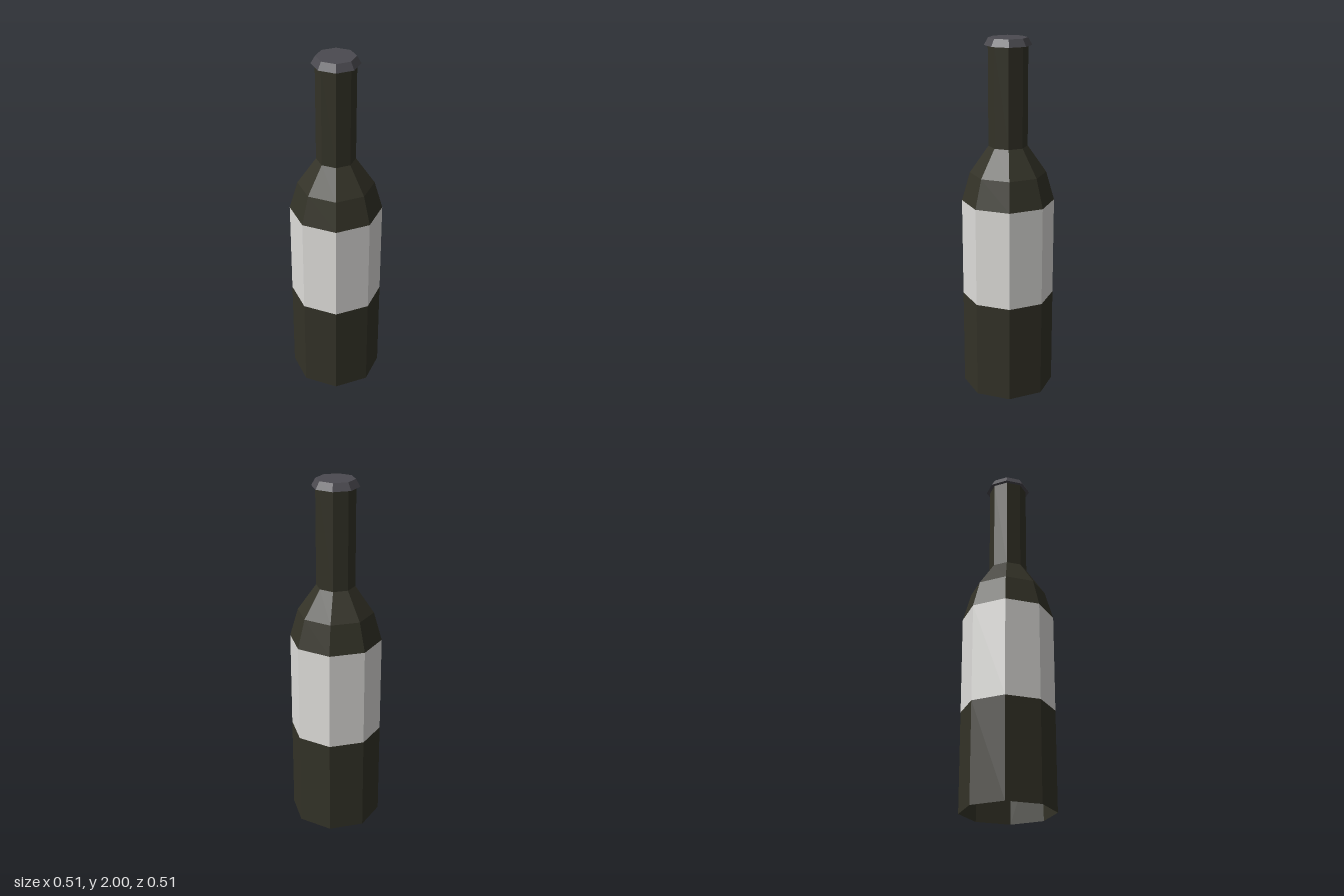
import * as THREE from 'three';

const SIDES = 8;

function makeMaterial(name, color) {
  const material = new THREE.MeshStandardMaterial({ color, flatShading: true, side: THREE.DoubleSide });
  material.name = name;
  return material;
}

// Eight-sided turned part from [radius, height] pairs, bottom to top
function turnedPart(name, profile, material) {
  const points = profile.map(([r, y]) => new THREE.Vector2(r, y));
  const mesh = new THREE.Mesh(new THREE.LatheGeometry(points, SIDES), material);
  mesh.name = name;
  return mesh;
}

export function createModel() {
  const glass = makeMaterial('dark olive glass', 0x333227);
  const paper = makeMaterial('off-white paper', 0xdddcd9);
  const metal = makeMaterial('dark grey cap', 0x4b4a50);

  const bottle = new THREE.Group();
  bottle.name = 'bottle';
  bottle.add(
    // Lower body, open underneath
    turnedPart('lowerBody', [[0.256, 0], [0.256, 0.553]], glass),
    // Label band, flush with the body
    turnedPart('label', [[0.256, 0.553], [0.256, 1.108]], paper),
    // Two-step shoulder running into the straight neck
    turnedPart('shoulderAndNeck', [[0.256, 1.108], [0.21, 1.268], [0.107, 1.417], [0.107, 1.96]], glass),
    // Tapered cap with an overhanging rim and closed top
    turnedPart('cap', [[0.107, 1.96], [0.128, 1.96], [0.105, 2], [0, 2]], metal)
  );
  return bottle;
}
